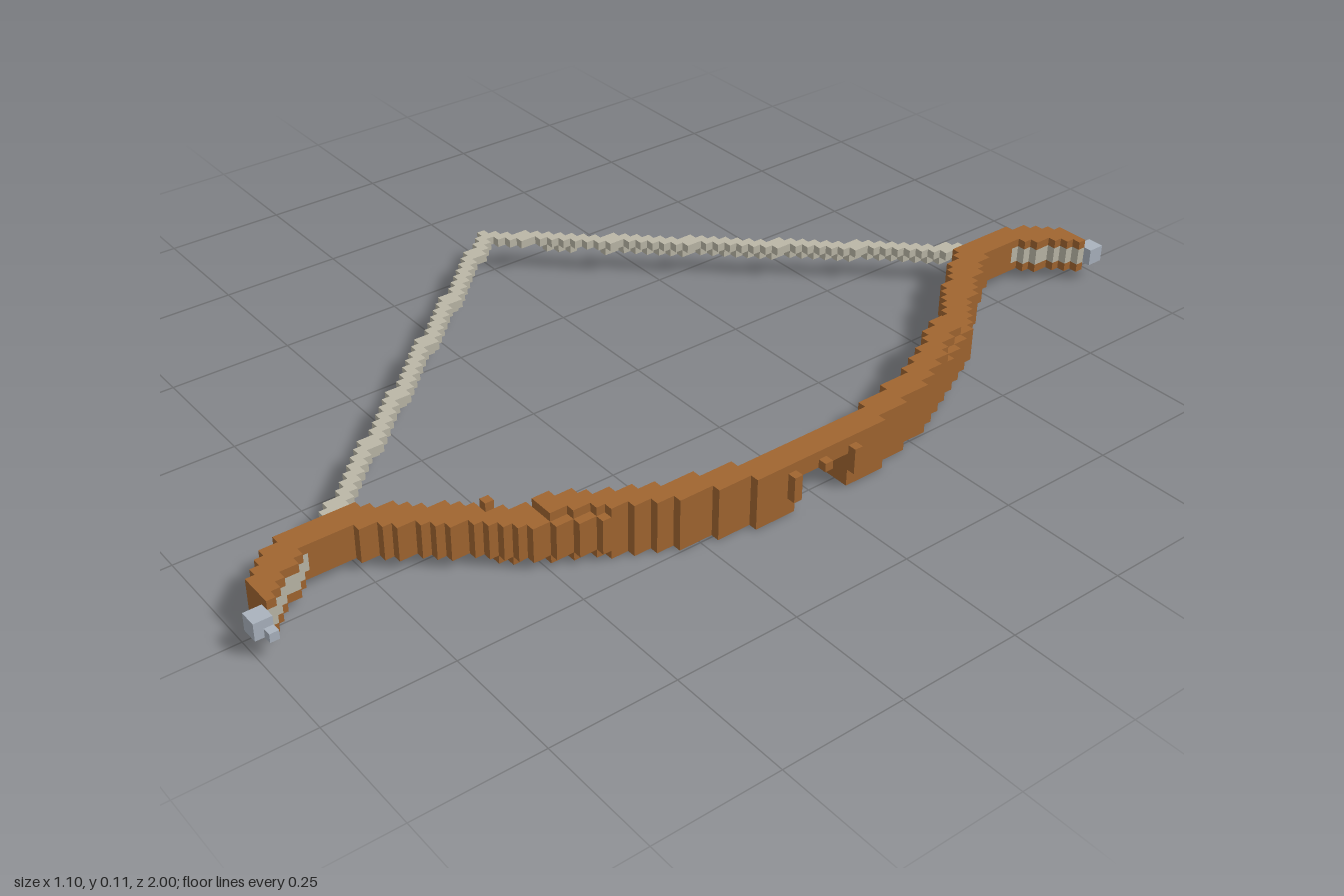
import * as THREE from 'three';
import { mergeGeometries } from 'three/addons/utils/BufferGeometryUtils.js';

const V = 2 / 113; // edge of one cubic cell

// Block covering cells i0..i1-1 (x), j0..j1-1 (y) in the slice k (z, centred on k)
function block(i0, i1, j0, j1, k) {
  const g = new THREE.BoxGeometry((i1 - i0) * V, (j1 - j0) * V, V);
  return g.translate((i0 + i1) / 2 * V, (j0 + j1) / 2 * V, k * V);
}

// Centre line of one limb: [distance from the middle, x]
const PATH = [[0, .505], [.1, .503], [.2, .487], [.3, .456], [.4, .41], [.5, .357],
  [.55, .318], [.6, .275], [.7, .2], [.75, .17], [.8, .162], [.85, .172],
  [.9, .198], [.95, .243], [1, .295]];

function pathX(z) {
  let n = 1;
  while (n < PATH.length - 1 && PATH[n][0] < z) n++;
  const [a, b] = [PATH[n - 1], PATH[n]];
  return THREE.MathUtils.lerp(a[1], b[1], (z - a[0]) / (b[0] - a[0]));
}

// First and last cell of the limb in slice k
function span(k) {
  const z = Math.abs(k) * V, x = pathX(z);
  const slope = Math.abs(pathX(z + .01) - pathX(Math.max(0, z - .01))) / .02;
  const n = slope > .5 ? 4 : 3;
  const lo = Math.round(x / V - n / 2);
  return [lo, lo + n];
}

export function createModel() {
  const material = (name, color) => {
    const m = new THREE.MeshStandardMaterial({ color });
    m.name = name;
    return m;
  };
  const wood = material('wood', 0xa06530);
  const cord = material('cord', 0xbab6a6);
  const metal = material('metal', 0xa9b2bd);

  const group = new THREE.Group();
  group.name = 'bow';
  const add = (name, mat, blocks) => {
    const mesh = new THREE.Mesh(mergeGeometries(blocks), mat);
    mesh.name = name;
    group.add(mesh);
  };

  // Grip, cut away underneath, with small studs on its outer face
  const grip = [];
  for (let k = -3; k <= 3; k++) grip.push(block(27, 30, 4, 6, k));
  grip.push(block(30, 31, 4, 5, 0), block(30, 31, 2, 5, 4), block(30, 31, 2, 5, -4));
  add('grip', wood, grip);

  for (const s of [1, -1]) {
    const side = s > 0 ? 'front' : 'back';

    // Limb: thick near the grip, slimmer and grooved at the recurved end
    const limb = [], groove = [];
    for (let k = 4; k <= 54; k++) {
      const [lo, hi] = span(k);
      const rim = hi - lo === 4 ? hi - 1 : hi;
      if (k >= 48) {
        limb.push(block(lo, hi, 1, 2, s * k), block(lo, hi - 1, 2, 4, s * k), block(lo, hi, 4, 5, s * k));
        groove.push(block(hi - 1, hi, 2, 4, s * k));
      } else {
        limb.push(block(lo, hi, 1, 5, s * k));
      }
      if (k <= 28 || k === 30 || k === 31) limb.push(block(lo, rim, 0, 1, s * k));
      if (k <= 27) limb.push(block(lo, rim, 5, 6, s * k));
      if (k === 31 && s > 0) limb.push(block(lo, lo + 1, 5, 6, k));
    }
    add(side + 'Limb', wood, limb);
    add(side + 'LimbCord', cord, groove);

    // Metal tip
    const tip = [block(15, 17, 2, 4, s * 55), block(15, 17, 2, 4, s * 56)];
    if (s > 0) tip.push(block(17, 18, 2, 3, 55));
    add(side + 'Tip', metal, tip);

    // Drawn string from the nocking point to the limb
    const string = [];
    for (let k = s > 0 ? 0 : 1; k <= 45; k++) {
      const i = -31 + Math.round(39 * k / 45);
      string.push(block(i, i + 2, 3, 4, s * k));
      if (i > -22 || (i >= -26 && i < -23)) string.push(block(i, i + 1, 2, 3, s * k));
    }
    add(side + 'String', cord, string);
  }
  return group;
}
